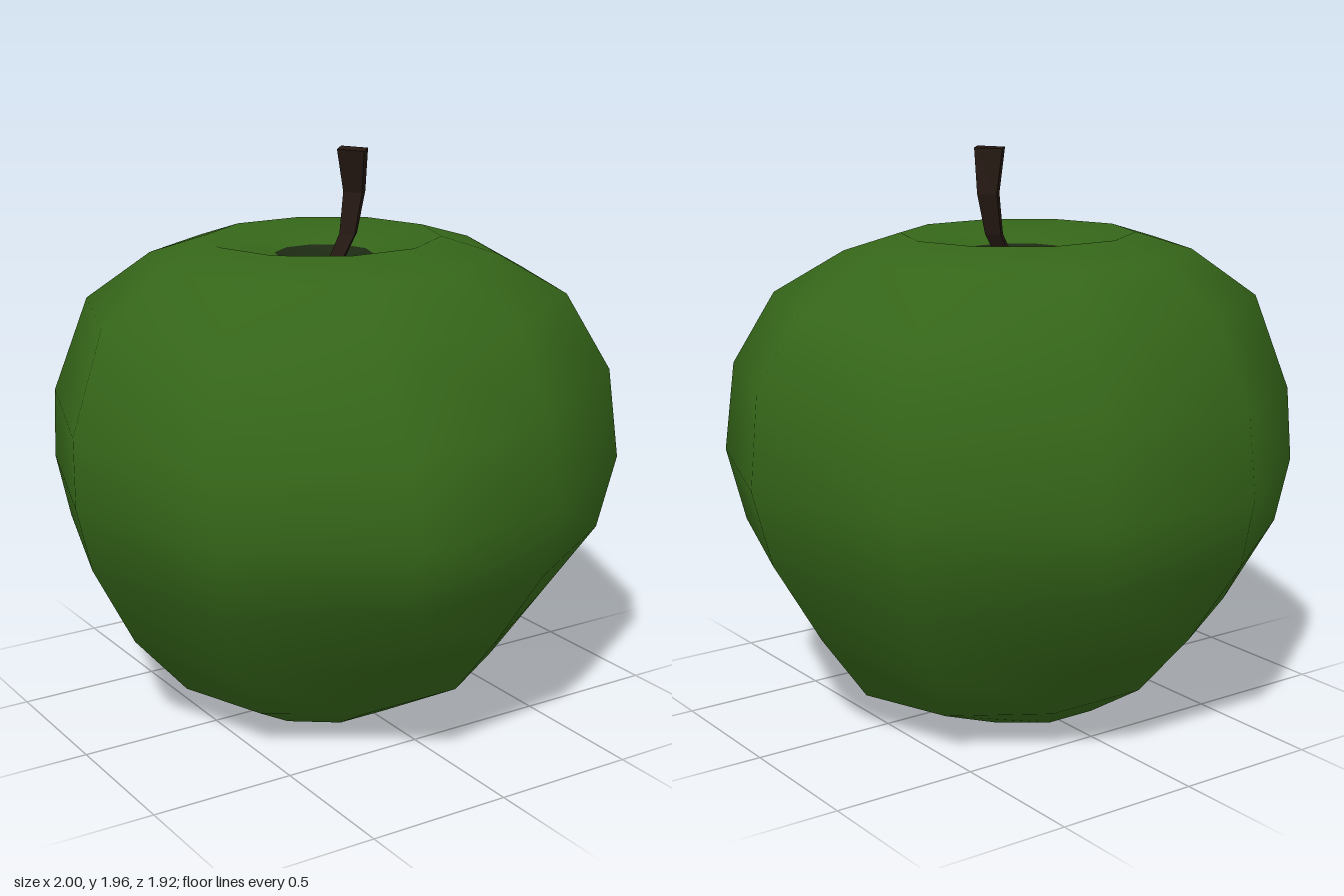
import * as THREE from 'three';

const SIDES = 10;

// Stacks rings of points into an indexed surface; rings run from top to bottom.
// A ring flagged as a pole collapses to a single shared vertex.
function skin(rings, isPole) {
  const n = rings[0].length;
  const position = new THREE.Float32BufferAttribute(rings.flat(2), 3);
  const id = (i, j) => i * n + (isPole(i) ? 0 : j % n);
  const bands = [];
  for (let i = 0; i < rings.length - 1; i++) {
    const band = [];
    for (let j = 0; j < n; j++) {
      const a = id(i, j), b = id(i, j + 1), c = id(i + 1, j), d = id(i + 1, j + 1);
      if (a !== b) band.push(a, b, c);
      if (c !== d) band.push(b, d, c);
    }
    bands.push(band);
  }
  const geometry = new THREE.BufferGeometry();
  geometry.setAttribute('position', position);
  geometry.setIndex(bands.flat());
  geometry.computeVertexNormals();
  return { geometry, bands };
}

// One piece of the skin, sharing its smooth normals with the rest
function piece(name, source, bands, material) {
  const geometry = source.clone();
  geometry.setIndex(bands.flat());
  const mesh = new THREE.Mesh(geometry, material);
  mesh.name = name;
  return mesh;
}

function createFruit() {
  // y, radius in x, radius in z, centre x, centre z, tilt of y along x
  const profile = [
    [1.55, 0, 0, -0.03, -0.03, 0],
    [1.61, 0.17, 0.17, -0.03, -0.03, 0],
    [1.67, 0.41, 0.385, -0.03, -0.035, 0],
    [1.61, 0.61, 0.565, -0.03, -0.035, 0],
    [1.46, 0.85, 0.78, -0.02, -0.035, 0.015],
    [1.17, 0.985, 0.95, -0.015, 0, 0.06],
    [0.89, 1.0, 1.0, 0, 0, 0.02],
    [0.65, 0.94, 0.95, -0.01, 0, 0],
    [0.36, 0.78, 0.71, -0.01, -0.03, 0.01],
    [0.135, 0.6, 0.53, 0, -0.025, 0],
    [0.0, 0.3, 0.3, -0.05, -0.035, 0],
    [0.04, 0.14, 0.14, -0.04, -0.03, 0],
    [0.08, 0, 0, -0.04, -0.03, 0],
  ];
  // Slight lumps around the widest part
  const lumps = [1, 0.98, 0.93, 1.02, 1, 1, 1, 0.99, 1, 1.01];
  const rings = profile.map(([y, rx, rz, cx, cz, tilt], i) =>
    lumps.map((lump, j) => {
      const a = (j / SIDES) * Math.PI * 2;
      const s = i >= 5 && i <= 7 ? lump : 1;
      const x = Math.cos(a) * rx * s;
      return [cx + x, y + tilt * x, cz + Math.sin(a) * rz * s];
    }));
  const last = profile.length - 1;
  const { geometry, bands } = skin(rings, (i) => i === 0 || i === last);
  const green = new THREE.MeshStandardMaterial({ color: 0x356619 });
  const dark = new THREE.MeshStandardMaterial({ color: 0x1d2a12 });
  const group = new THREE.Group();
  group.name = 'fruit';
  group.add(
    piece('skin', geometry, bands.slice(1, last - 1), green),
    piece('stemHollow', geometry, [bands[0]], dark),
    piece('bottomHollow', geometry, [bands[last - 1]], dark),
  );
  return group;
}

function createStem() {
  // Four-sided bent stalk: centre x, y, z and half widths in x, z
  const sections = [
    [0.075, 1.96, -0.015, 0, 0],
    [0.075, 1.96, -0.015, 0.055, 0.085],
    [0.1, 1.81, -0.042, 0.04, 0.058],
    [0.07, 1.67, -0.033, 0.032, 0.048],
    [-0.01, 1.53, -0.03, 0.028, 0.035],
  ];
  const rings = sections.map(([x, y, z, hx, hz]) =>
    [0, 1, 2, 3].map((j) => {
      const a = (j * Math.PI) / 2 + 0.15;
      return [x + Math.cos(a) * hx, y, z + Math.sin(a) * hz];
    }));
  const { geometry } = skin(rings, (i) => i === 0);
  const mesh = new THREE.Mesh(geometry,
    new THREE.MeshStandardMaterial({ color: 0x241812, flatShading: true }));
  mesh.name = 'stem';
  return mesh;
}

export function createModel() {
  const model = new THREE.Group();
  model.name = 'apple';
  model.add(createFruit(), createStem());
  return model;
}
